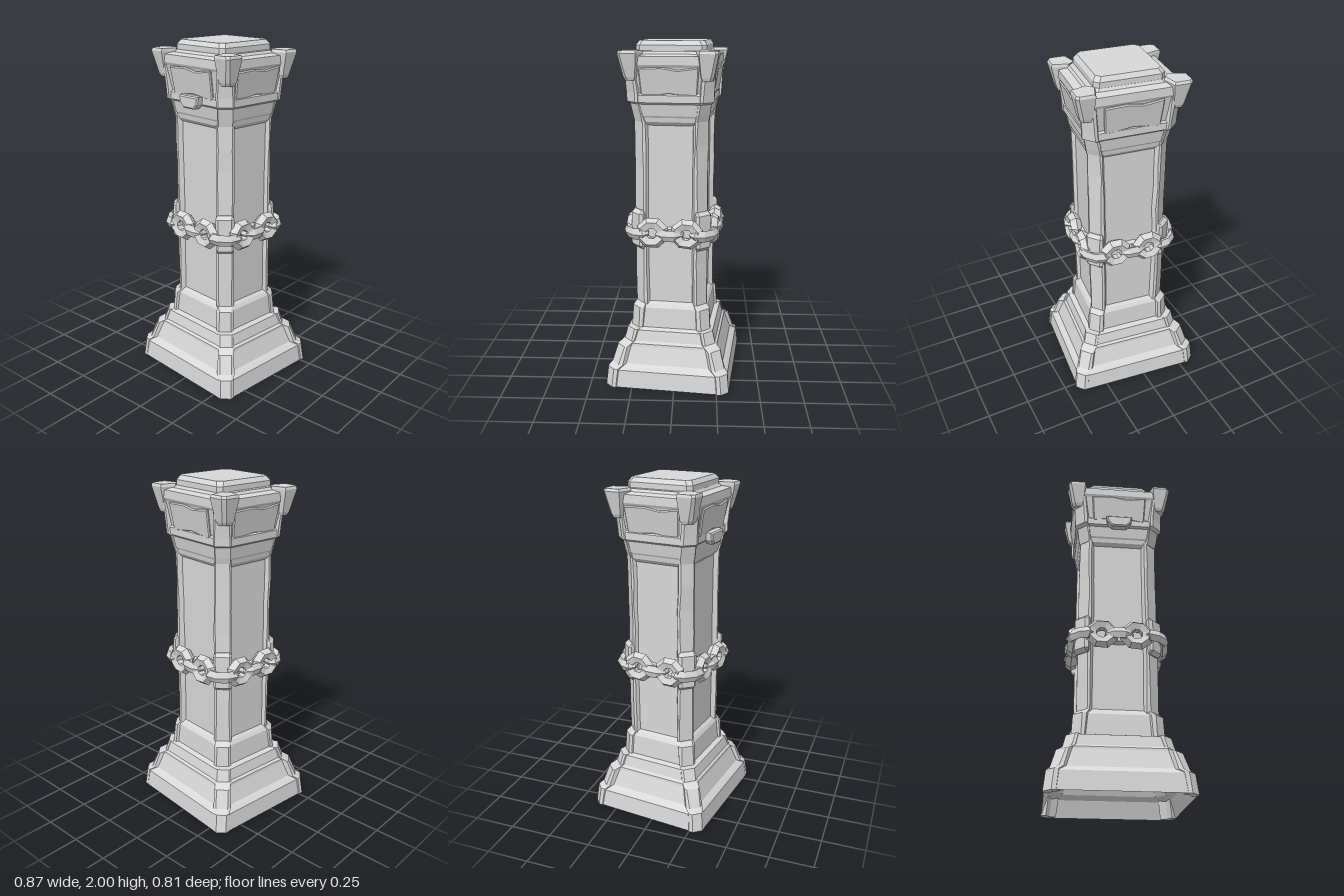
import * as THREE from 'three';

const stone = new THREE.MeshStandardMaterial({ color: 0xd8d8d8 });
stone.name = 'lightStone';
stone.flatShading = true;

// Small seeded random for hand-cut irregularity
let seed = 7;
const jitter = (a) => {
  seed = (seed * 16807) % 2147483647;
  return (seed / 2147483647 - 0.5) * 2 * a;
};

function mesh(name, geometry, parent) {
  const m = new THREE.Mesh(geometry, stone);
  m.name = name;
  parent.add(m);
  return m;
}

// Skin a stack of [y, outline] sections; caps are fans from the first point
function loft(sections, { bottom = true, inward = false } = {}) {
  const o = sections[0][1];
  let area = 0;
  o.forEach((p, i) => {
    const q = o[(i + 1) % o.length];
    area += p[0] * q[1] - q[0] * p[1];
  });
  const flip = (area > 0) !== inward;
  const n = o.length, pos = [], index = [];
  const tri = (a, b, c) => (flip ? index.push(a, c, b) : index.push(a, b, c));
  for (const [y, pts] of sections) for (const [x, z] of pts) pos.push(x, y, z);
  for (let s = 0; s < sections.length - 1; s++) {
    for (let i = 0; i < n; i++) {
      const a = s * n + i, b = s * n + ((i + 1) % n);
      tri(a, b, b + n);
      tri(a, b + n, a + n);
    }
  }
  const last = (sections.length - 1) * n;
  for (let i = 1; i < n - 1; i++) {
    if (bottom) tri(0, i + 1, i);
    tri(last, last + i, last + i + 1);
  }
  const g = new THREE.BufferGeometry();
  g.setAttribute('position', new THREE.Float32BufferAttribute(pos, 3));
  g.setIndex(index);
  const flat = g.toNonIndexed();
  flat.computeVertexNormals();
  return flat;
}

// Rectangle with cut corners
const octagon = (hx, hz, c) => [
  [hx, hz - c], [hx - c, hz], [c - hx, hz], [-hx, hz - c],
  [-hx, c - hz], [c - hx, -hz], [hx - c, -hz], [hx, c - hz],
];
const block = (levels, c, d, options) =>
  loft(levels.map(([y, hx]) => [y, octagon(hx, hx - d, c)]), options);

// One corner shell of thickness t: chamfered outside, bevelled towards the panels
const cornerOutline = (hx, hz, c, w, t, sx, sz) => [
  [hx - t - 0.02, hz - t - 0.02], [hx - t, hz - w], [hx, hz - w + 0.024], [hx, hz - c],
  [hx - c, hz], [hx - w + 0.024, hz], [hx - w, hz - t],
].map(([x, z]) => [x * sx, z * sz]);

// Four mirrored corners from [y, hx, chamfer, width] levels
function corners(name, levels, d, t, rough, parent) {
  for (const sx of [-1, 1]) for (const sz of [-1, 1]) {
    mesh(name, loft(levels.map(([y, hx, c, w]) => [y, cornerOutline(
      hx + jitter(rough * 0.4), hx - d + jitter(rough * 0.4), c + jitter(rough), w + jitter(rough), t, sx, sz)])), parent);
  }
}

function plate(points, depth, bevel) {
  const shape = new THREE.Shape(points.map(([x, y]) => new THREE.Vector2(x, y)));
  return new THREE.ExtrudeGeometry(shape, {
    depth, bevelEnabled: true, bevelSegments: 1, bevelSize: bevel, bevelThickness: bevel,
  });
}

export function createModel() {
  seed = 7;
  const model = new THREE.Group();
  model.name = 'stonePillar';
  const pillar = new THREE.Group();
  pillar.name = 'pillar';
  pillar.rotation.y = -0.117;
  model.add(pillar);

  // Stepped base, shaft panels and capital in one profile
  mesh('pillarCore', block([
    [0, 0.393], [0.105, 0.381], [0.122, 0.362], [0.135, 0.345], [0.235, 0.312],
    [0.25, 0.31], [0.262, 0.296], [0.325, 0.281], [0.335, 0.25], [0.455, 0.241],
    [0.475, 0.228], [0.49, 0.211], [1.54, 0.211], [1.56, 0.228], [1.585, 0.232],
    [1.595, 0.238], [1.66, 0.248], [1.67, 0.26], [1.71, 0.26], [1.72, 0.25],
    [1.86, 0.274], [1.875, 0.282], [1.92, 0.28], [1.93, 0.235], [1.945, 0.225],
  ], 0.055, 0.027, { bottom: false }), pillar);

  // Hollow underside
  mesh('baseHollow', block([
    [0, 0.393], [0.1, 0.362], [0.125, 0.335], [0.2, 0.305],
  ], 0.055, 0.027, { bottom: false, inward: true }), pillar);

  // Cap slab
  mesh('capSlab', block([[1.925, 0.195], [1.975, 0.195], [2, 0.178]], 0.025, -0.002), pillar);

  // Base corners
  corners('baseCorner', [
    [0, 0.398, 0.042, 0.09], [0.112, 0.386, 0.042, 0.09], [0.132, 0.366, 0.048, 0.095],
    [0.235, 0.337, 0.05, 0.09], [0.26, 0.303, 0.05, 0.09], [0.33, 0.286, 0.05, 0.09],
  ], 0.031, 0.03, 0.002, pillar);
  corners('collarCorner', [
    [0.32, 0.258, 0.05, 0.095], [0.455, 0.25, 0.05, 0.095], [0.48, 0.232, 0.055, 0.09],
  ], 0.022, 0.04, 0.003, pillar);

  // Shaft corner posts with slightly uneven edges
  const post = [];
  for (let i = 0; i <= 8; i++) post.push([0.47 + i * 0.137, 0.23, 0.055, 0.094]);
  corners('cornerPost', post, 0.02, 0.04, 0.004, pillar);
  corners('chainGuard', [
    [0.82, 0.235, 0.055, 0.085], [0.84, 0.25, 0.055, 0.1],
    [1.03, 0.25, 0.055, 0.1], [1.05, 0.235, 0.055, 0.085],
  ], 0.02, 0.05, 0.003, pillar);

  // Capital corners and the flared blocks above them
  corners('capitalCorner', [
    [1.56, 0.232, 0.055, 0.09], [1.6, 0.24, 0.055, 0.09], [1.66, 0.25, 0.055, 0.09],
    [1.672, 0.266, 0.055, 0.095], [1.72, 0.268, 0.055, 0.095], [1.86, 0.276, 0.05, 0.09],
  ], 0.022, 0.05, 0.003, pillar);
  corners('flaredBlock', [
    [1.79, 0.282, 0.016, 0.075], [1.81, 0.29, 0.016, 0.09],
    [1.935, 0.317, 0.016, 0.13], [1.95, 0.311, 0.016, 0.12],
  ], 0.042, 0.085, 0.003, pillar);

  // Chunky low-sided chain link, face-on or edge-on
  const chain = new THREE.Group();
  chain.name = 'chain';
  pillar.add(chain);
  const linkGeometry = new THREE.TorusGeometry(0.054, 0.031, 5, 8);
  linkGeometry.rotateZ(Math.PI / 8);
  const link = (parent, x, y, z, edgeOn, length) => {
    const l = mesh('chainLink', linkGeometry, parent);
    l.position.set(x, y, z);
    l.scale.set(length, edgeOn ? 0.7 : 1.08, 1.15);
    l.rotation.x = edgeOn ? Math.PI / 2 + jitter(0.15) : jitter(0.12);
    l.rotation.z = edgeOn ? 0 : jitter(0.12);
  };

  // Each side: leaning arched capital plate and its share of the chain
  for (let k = 0; k < 4; k++) {
    const half = k % 2 ? 0.23 : 0.21;
    const side = new THREE.Group();
    side.name = 'sideDetails';
    side.rotation.y = k * Math.PI / 2;
    pillar.add(side);
    const panel = mesh('capitalPlate', plate([
      [-0.15, 0], [0, 0.02], [0.15, 0], [0.16, 0.155], [0.05, 0.14], [-0.04, 0.155], [-0.16, 0.15],
    ], 0.005, 0.006), side);
    panel.position.set(0, 1.705, half + 0.013);
    panel.rotation.x = 0.17;

    const run = new THREE.Group();
    run.name = 'chainRun';
    run.rotation.y = k * Math.PI / 2;
    chain.add(run);
    for (const s of [-1, 1]) link(run, s * 0.1, 0.925, half + 0.024, false, 1.15);
    link(run, 0, 0.92, half + 0.016, true, 1.05);
  }

  // Links wrapping the four corners
  for (const sx of [-1, 1]) for (const sz of [-1, 1]) {
    const corner = new THREE.Group();
    corner.name = 'cornerLink';
    corner.position.set(sx * 0.217, 0, sz * 0.197);
    corner.rotation.y = Math.atan2(sx, sz);
    chain.add(corner);
    link(corner, 0, 0.922, 0, true, 1.2);
  }

  // Small keystone on the front
  const key = mesh('keystone', plate([
    [-0.04, 0], [0.04, 0], [0.065, 0.025], [0.07, 0.055], [-0.07, 0.055], [-0.065, 0.025],
  ], 0.035, 0.008), pillar);
  key.position.set(0, 1.65, 0.228);

  return model;
}
